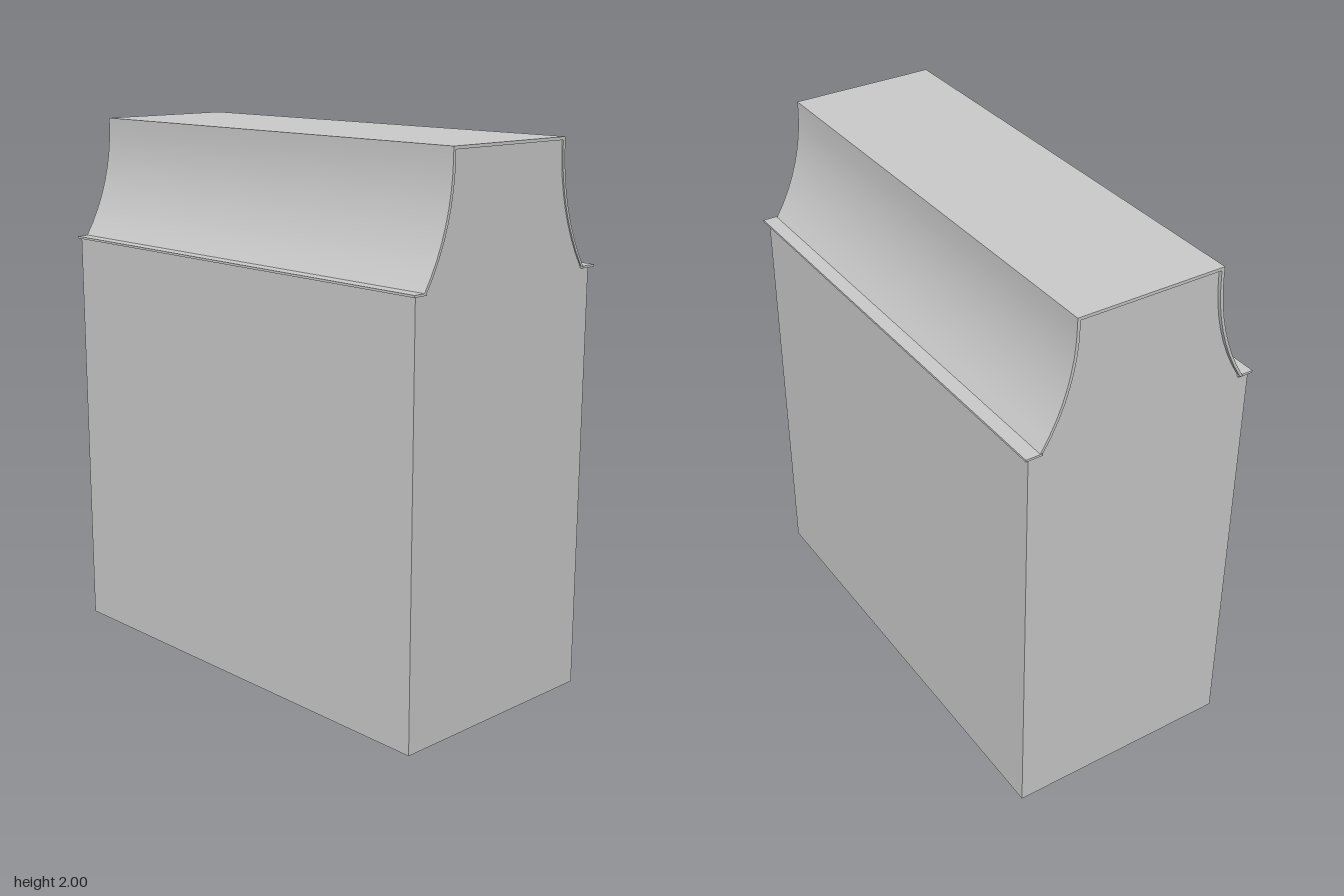
import * as THREE from 'three';
import { toCreasedNormals } from 'three/addons/utils/BufferGeometryUtils.js';

const EAVE_Y = 1.55, TOP_Y = 2, CENTER_X = -0.005;

// Concave flank from the eave up to the ridge, on the +x side
function flank(inset) {
  const radius = 0.77, startY = 1.97, points = [];
  for (let i = 0; i <= 8; i++) {
    const y = EAVE_Y + (startY - EAVE_Y) * i / 8;
    const dy = startY - y;
    points.push([0.277 - inset + radius - Math.sqrt(radius * radius - dy * dy), y]);
  }
  points.push([0.277 - inset, TOP_Y - inset]);
  return points;
}

// Mirror a bottom-to-top flank into a counterclockwise outline
const mirrored = (points) => [...points, ...points.map(([x, y]) => [-x, y]).reverse()];

function extrude(points, z0, z1) {
  const shape = new THREE.Shape(points.map(([x, y]) => new THREE.Vector2(x + CENTER_X, y)));
  const geometry = new THREE.ExtrudeGeometry(shape, { depth: z1 - z0, bevelEnabled: false });
  geometry.translate(0, 0, z0);
  return toCreasedNormals(geometry, 0.3);
}

export function createModel() {
  const group = new THREE.Group();
  const material = new THREE.MeshStandardMaterial({ color: 0xcccccc });
  const add = (name, geometry) => {
    const mesh = new THREE.Mesh(geometry, material);
    mesh.name = name;
    group.add(mesh);
    return mesh;
  };

  // Solid block with gable ends filling the roof profile
  add('body', extrude(mirrored([[0.435, 0], [0.435, EAVE_Y], ...flank(0.011)]), -0.89, 0.888));

  // Thin curved roof skin, slightly longer than the body
  const outer = mirrored(flank(0));
  const inner = mirrored(flank(0.011)).reverse();
  add('roofShell', extrude([...outer, ...inner], -0.903, 0.893));

  // Flat eave strips along both long sides
  const eave = (name, x0, x1, z0, z1) => {
    add(name, new THREE.BoxGeometry(x1 - x0, 0.008, z1 - z0))
      .position.set((x0 + x1) / 2, EAVE_Y, (z0 + z1) / 2);
  };
  eave('leftEave', 0.385, 0.448, -0.905, 0.9);
  eave('rightEave', -0.45, -0.393, -0.9, 0.893);

  return group;
}
